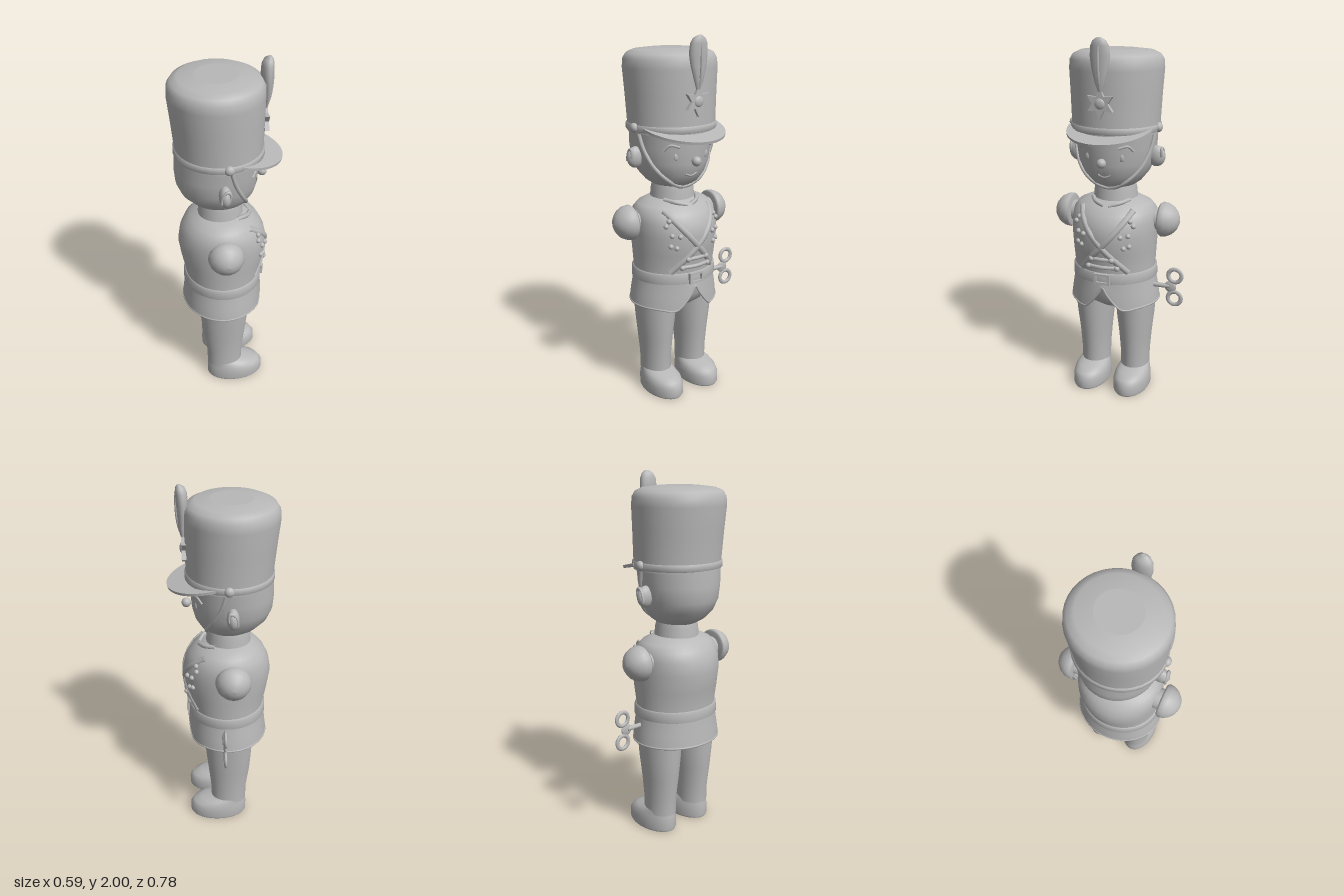
import * as THREE from 'three';

const grey = new THREE.MeshStandardMaterial({ color: 0xb8b8b8 });
grey.name = 'grey';
const greyOpen = new THREE.MeshStandardMaterial({ color: 0xb8b8b8, side: THREE.DoubleSide });
greyOpen.name = 'grey';

// Cross-sections, bottom to top: [y, centre x, half depth x, half width z]
const HEAD = [[1.185, -0.03, 0.04, 0.04], [1.2, -0.03, 0.105, 0.1], [1.23, -0.035, 0.155, 0.143], [1.28, -0.045, 0.195, 0.182],
  [1.34, -0.05, 0.216, 0.208], [1.42, -0.05, 0.223, 0.22], [1.54, -0.04, 0.226, 0.23]];
const TORSO = [[0.66, -0.022, 0.212, 0.232], [0.75, -0.022, 0.208, 0.23], [0.85, -0.02, 0.23, 0.235], [0.95, -0.02, 0.245, 0.24],
  [1.02, -0.022, 0.232, 0.24], [1.07, -0.025, 0.205, 0.232], [1.105, -0.028, 0.168, 0.205], [1.13, -0.03, 0.125, 0.15], [1.14, -0.03, 0.1, 0.1]];
const HAT = [[1.5, -0.035, 0.23, 0.24], [1.55, -0.036, 0.23, 0.241], [1.7, -0.042, 0.238, 0.248], [1.83, -0.048, 0.246, 0.256],
  [1.875, -0.048, 0.243, 0.252], [1.903, -0.047, 0.226, 0.235], [1.92, -0.046, 0.19, 0.2], [1.93, -0.045, 0.11, 0.115]];

// Closed surface through elliptical sections; lift() may raise single vertices
function loft(rows, { seg = 36, caps = true, lift = null } = {}) {
  const pos = [], idx = [];
  const ring = ([y, cx, rx, rz]) => {
    for (let j = 0; j < seg; j++) {
      const a = j / seg * Math.PI * 2, z = rz * Math.sin(a), x = cx + rx * Math.cos(a);
      pos.push(x, y + (lift ? lift(x, y, z) : 0), z);
    }
  };
  rows.forEach(ring);
  for (let i = 0; i < rows.length - 1; i++) for (let j = 0; j < seg; j++) {
    const a = i * seg + j, b = i * seg + (j + 1) % seg, c = a + seg, d = b + seg;
    idx.push(a, c, b, b, c, d);
  }
  if (caps) [rows[0], rows[rows.length - 1]].forEach((row, top) => {
    const s = pos.length / 3;
    ring(row);
    pos.push(row[1], row[0], 0);
    for (let j = 0; j < seg; j++) {
      const p = s + j, q = s + (j + 1) % seg;
      idx.push(s + seg, top ? q : p, top ? p : q);
    }
  });
  const g = new THREE.BufferGeometry();
  g.setAttribute('position', new THREE.Float32BufferAttribute(pos, 3));
  g.setIndex(idx);
  g.computeVertexNormals();
  return g;
}

// Point on a lofted surface at height y and angle a from the front
function at(rows, y, a, off = 0) {
  let i = 0;
  while (i < rows.length - 2 && rows[i + 1][0] < y) i++;
  const t = THREE.MathUtils.clamp((y - rows[i][0]) / (rows[i + 1][0] - rows[i][0]), 0, 1);
  const [cx, rx, rz] = [1, 2, 3].map(k => THREE.MathUtils.lerp(rows[i][k], rows[i + 1][k], t));
  return new THREE.Vector3(cx + (rx + off) * Math.cos(a), y, (rz + off) * Math.sin(a));
}
const atZ = (rows, y, z, off = 0) => at(rows, y, Math.asin(z / 0.23), off);

const tube = (pts, r, n = 24, closed = false) =>
  new THREE.TubeGeometry(new THREE.CatmullRomCurve3(pts, closed), n, r, 8, closed);

export function createModel() {
  const model = new THREE.Group();
  model.name = 'toySoldier';
  const body = new THREE.Group();
  body.name = 'figure';
  body.position.z = 0.022;
  model.add(body);
  const add = (name, geo, p = [0, 0, 0], s = [1, 1, 1], mat = grey) => {
    const m = new THREE.Mesh(geo, mat);
    m.name = name;
    m.position.set(...(p.isVector3 ? p.toArray() : p));
    m.scale.set(...s);
    body.add(m);
    return m;
  };
  const ball = (name, p, r, s) => add(name, new THREE.SphereGeometry(r, 16, 12), p, s);

  // Head, neck, hat and torso
  add('head', loft(HEAD));
  add('neck', loft([[1.11, -0.03, 0.125, 0.125], [1.18, -0.03, 0.118, 0.118], [1.215, -0.03, 0.11, 0.11]]));
  add('hat', loft(HAT));
  add('torso', loft(TORSO, { seg: 40 }));

  // Coat skirt, open at the bottom with a raised notch at the front
  const skirt = [[0.54, -0.026, 0.224, 0.256], [0.57, -0.025, 0.222, 0.253], [0.61, -0.024, 0.219, 0.247], [0.65, -0.023, 0.215, 0.24], [0.7, -0.022, 0.212, 0.233]];
  const lift = (x, y, z) => x < 0 ? 0 : (0.7 - y) / 0.16 * (0.12 * Math.max(0, 1 - Math.abs(z) / 0.11) ** 1.5
    - 0.012 * Math.exp(-(((Math.abs(z) - 0.13) / 0.05) ** 2)));
  add('coatSkirt', loft(skirt, { seg: 72, caps: false, lift }), [0, 0, 0], [1, 1, 1], greyOpen);
  const hem = Array.from({ length: 72 }, (_, i) => {
    const p = at(skirt, 0.54, i / 36 * Math.PI, -0.003);
    p.y += lift(p.x, 0.54, p.z);
    return p;
  });
  add('skirtHem', tube(hem, 0.006, 144, true));
  add('hips', loft([[0.5, -0.028, 0.1, 0.1], [0.54, -0.028, 0.155, 0.19], [0.6, -0.025, 0.19, 0.215], [0.7, -0.022, 0.2, 0.22]]));

  // Belt, buckle and the two chest bars
  add('belt', loft([[0.68, -0.022, 0.21, 0.23], [0.685, -0.022, 0.22, 0.242], [0.738, -0.022, 0.217, 0.24], [0.744, -0.022, 0.206, 0.228]], { seg: 40 }));
  const frame = new THREE.Shape([[-0.045, -0.03], [0.045, -0.03], [0.045, 0.03], [-0.045, 0.03]].map(p => new THREE.Vector2(...p)));
  frame.holes.push(new THREE.Path([[-0.032, -0.018], [-0.032, 0.018], [0.032, 0.018], [0.032, -0.018]].map(p => new THREE.Vector2(...p))));
  add('buckle', new THREE.ExtrudeGeometry(frame, { depth: 0.018, bevelEnabled: false }).rotateY(Math.PI / 2), [0.19, 0.713, 0]);
  [[0.78, 0.08], [0.83, 0.055]].forEach(([y, w]) => {
    add('chestBar', tube([-1, 0, 1].map(k => atZ(TORSO, y, k * w, 0.004)), 0.011));
    for (const k of [-1, 1]) ball('barKnob', atZ(TORSO, y, k * w, 0.006), 0.016);
  });

  // Crossed straps over the chest
  for (const s of [-1, 1]) {
    const pts = [[1.09, -0.16], [1.04, -0.115], [0.97, -0.06], [0.9, 0], [0.83, 0.065], [0.75, 0.135]];
    add('chestStrap', tube(pts.map(([y, z]) => atZ(TORSO, y, s * z, -0.008)), 0.019));
    // Coat buttons
    [[1.045, 0.14], [1.02, 0.155], [0.97, 0.135], [0.965, 0.1], [0.91, 0.14], [0.9, 0.115]].forEach(([y, z]) =>
      ball('coatButton', atZ(TORSO, y, s * z, 0.003), 0.014));
    // Collar tips
    add('collarTip', tube([at(TORSO, 1.135, s * 0.9, 0.01), at(TORSO, 1.125, s * 0.4, 0.01), at(TORSO, 1.11, s * 0.05, 0)], 0.012));

    // Rounded arm stubs with a flat inner face
    const stub = new THREE.LatheGeometry([[0, 0], [0.088, 0], [0.097, 0.012], [0.093, 0.04], [0.078, 0.07], [0.052, 0.093], [0.026, 0.105], [0, 0.109]]
      .map(p => new THREE.Vector2(...p)), 24).rotateX(s * Math.PI / 2);
    add('armStub', stub, [-0.042, 1.015, s * 0.257]);
    const joint = new THREE.CylinderGeometry(0.06, 0.06, 0.07, 20).rotateX(Math.PI / 2);
    add('armJoint', joint, [-0.042, 1.015, s * 0.23]);

    // Ears, strap buttons and chin strap
    ball('ear', [-0.04, 1.37, s * 0.228], 0.055, [0.6, 1.05, 0.92]);
    add('earRim', new THREE.TorusGeometry(0.036, 0.009, 8, 20, Math.PI * 1.3), [-0.04, 1.375, s * 0.262], [0.6, 1.15, 1]).rotation.z = -0.3;
    ball('strapButton', [-0.02, 1.53, s * 0.245], 0.026, [1, 1, 0.8]);
    const strap = [[1.53, 1.45], [1.42, 1.27], [1.32, 1.03], [1.25, 0.74], [1.212, 0.4], [1.2, 0]];
    add('chinStrap', tube(strap.map(([y, a]) => at(HEAD, y, s * a, 0.004)), 0.011));

    // Eyes and eyebrows
    ball('eye', at(HEAD, 1.385, s * 0.46, -0.002), 0.02, [0.3, 1, 0.7]);
    add('eyebrow', tube([[1.42, 0.75], [1.447, 0.6], [1.437, 0.38]].map(([y, a]) => at(HEAD, y, s * a, 0)), 0.007));

    // Legs and shoes
    add('leg', loft([[0.1, -0.028, 0.102, 0.082], [0.2, -0.028, 0.105, 0.083], [0.32, -0.03, 0.12, 0.092], [0.44, -0.028, 0.131, 0.106], [0.58, -0.027, 0.14, 0.117]]), [0, 0, s * 0.122]);
    add('shoe', loft([[0, 0.033, 0.16, 0.096], [0.012, 0.034, 0.166, 0.102], [0.06, 0.034, 0.166, 0.102], [0.09, 0.026, 0.154, 0.096],
      [0.108, 0.005, 0.13, 0.088], [0.125, -0.025, 0.1, 0.08]]), [0, 0, s * 0.124]);
  }
  ball('nose', [0.195, 1.36, 0], 0.026);
  add('mouth', tube([-0.2, 0, 0.2].map(a => at(HEAD, 1.275 + a * a * 0.3, a, -0.002)), 0.006));

  // Hat band and sloping visor
  add('hatBand', loft([[1.505, -0.036, 0.225, 0.235], [1.512, -0.036, 0.237, 0.248], [1.54, -0.036, 0.237, 0.248], [1.548, -0.036, 0.226, 0.237]]));
  const brim = new THREE.Shape();
  brim.absellipse(0, 0, 0.252, 0.235, -Math.PI / 2, Math.PI / 2, false, 0);
  const visor = new THREE.ExtrudeGeometry(brim, { depth: 0.014, bevelEnabled: false, curveSegments: 32 }).rotateX(Math.PI / 2);
  add('visor', visor, [0.05, 1.535, 0]).rotation.z = -0.22;

  // Six-pointed badge and feather plume
  const star = new THREE.Shape(Array.from({ length: 12 }, (_, i) => {
    const a = i * Math.PI / 6, r = i % 2 ? 0.042 : 0.078;
    return new THREE.Vector2(r * Math.sin(a), r * Math.cos(a));
  }));
  add('starBadge', new THREE.ExtrudeGeometry(star, { depth: 0.024, bevelEnabled: false }).rotateY(Math.PI / 2), [0.188, 1.672, 0]);
  ball('badgeCentre', [0.21, 1.672, 0], 0.028, [0.4, 1, 1]);
  add('plume', loft([[1.73, 0.204, 0.008, 0.01], [1.78, 0.208, 0.017, 0.027], [1.85, 0.205, 0.024, 0.046], [1.91, 0.203, 0.03, 0.054],
    [1.96, 0.206, 0.03, 0.049], [1.985, 0.21, 0.024, 0.036], [2, 0.216, 0.008, 0.012]], { seg: 16 }));
  add('plumeQuill', tube([[0.205, 1.73], [0.225, 1.8], [0.233, 1.88], [0.231, 1.96]].map(([x, y]) => new THREE.Vector3(x, y, 0)), 0.007));

  // Winding key on the right side
  const stem = new THREE.CylinderGeometry(0.013, 0.013, 0.12, 12).rotateX(Math.PI / 2);
  add('keyStem', stem, [0.005, 0.642, -0.27]);
  ball('keyHub', [0.005, 0.64, -0.335], 0.034, [0.3, 1, 1]);
  for (const y of [0.573, 0.707])
    add('keyRing', new THREE.TorusGeometry(0.038, 0.012, 8, 24).rotateY(Math.PI / 2), [0.005, y, -0.36], [0.7, 1, 1]);
  return model;
}
